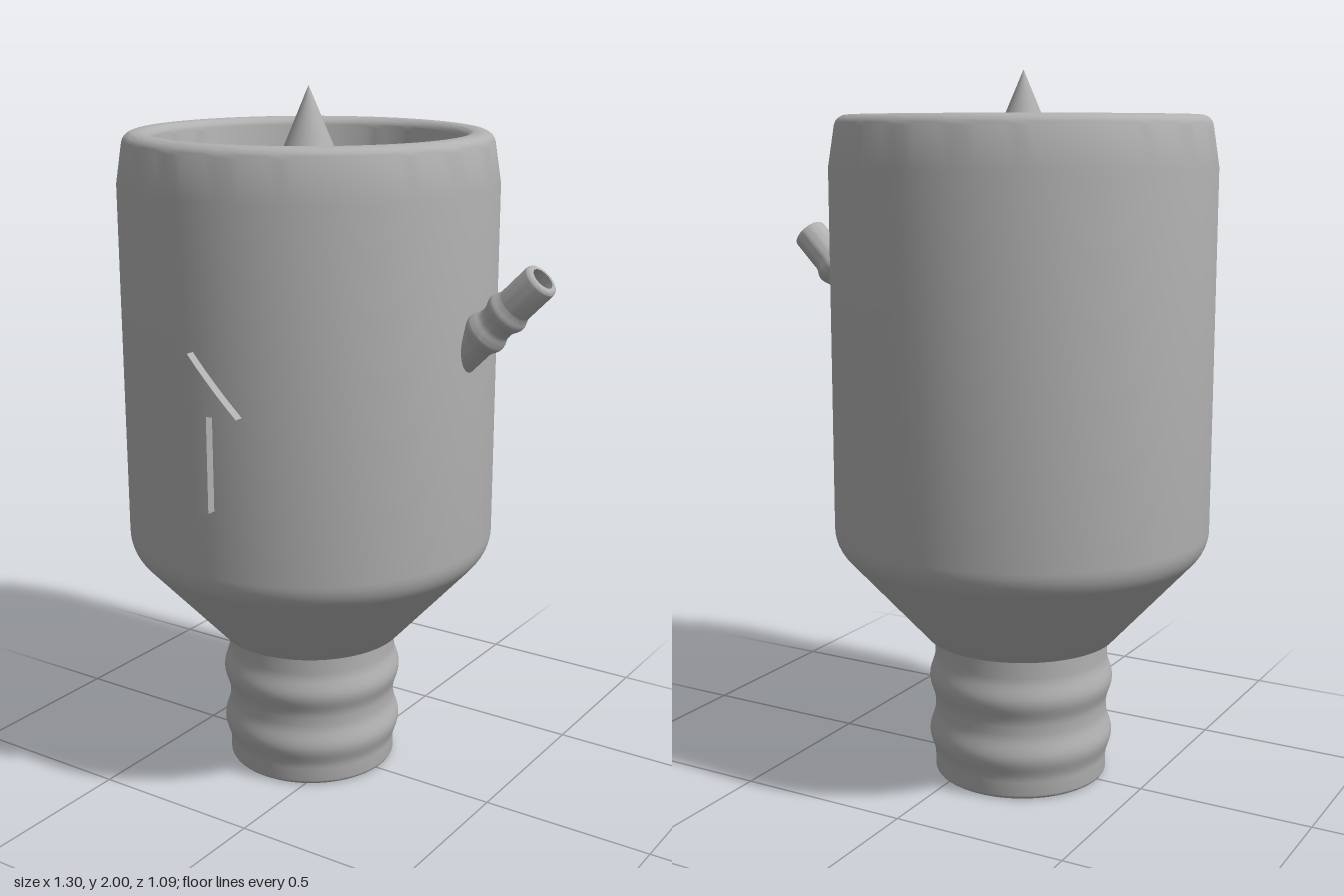
import * as THREE from 'three';
import { toCreasedNormals } from 'three/addons/utils/BufferGeometryUtils.js';

const grey = new THREE.MeshStandardMaterial({ color: 0xb0b0b0, side: THREE.DoubleSide });
grey.name = 'plain grey';

const FLOOR = 1.71, FLOOR_UNDER = 1.6, BORE = 0.433, BODY = 0.532;

function part(name, geometry, parent) {
  const mesh = new THREE.Mesh(geometry, grey);
  mesh.name = name;
  parent.add(mesh);
  return mesh;
}

// Revolved profile; edges sharper than the crease angle stay crisp
function lathe(points, segments = 96) {
  const profile = points.map(([r, y]) => new THREE.Vector2(r, y));
  return toCreasedNormals(new THREE.LatheGeometry(profile, segments), 0.52);
}

// Points of an arc in the profile plane, angles in degrees
function arc(cx, cy, radius, from, to, steps = 6) {
  return Array.from({ length: steps + 1 }, (_, i) => {
    const a = THREE.MathUtils.degToRad(from + (to - from) * i / steps);
    return [cx + radius * Math.cos(a), cy + radius * Math.sin(a)];
  });
}

// Rounded hose ridge standing out from a tube
function ridge(r, y, halfLength, bump, steps = 12) {
  return Array.from({ length: steps + 1 }, (_, i) => {
    const t = -1 + 2 * i / steps;
    return [r + bump * (0.5 + 0.5 * Math.cos(Math.PI * t)), y + halfLength * t];
  });
}

// Flat disc facing up, with a ring of six round holes
function piercedDisc(radius, holeRadius, y) {
  const shape = new THREE.Shape().absarc(0, 0, radius, 0, Math.PI * 2);
  for (let i = 0; i < 6; i++) {
    const a = Math.PI / 2 + i * Math.PI / 3;
    const hole = new THREE.Path();
    hole.absarc(0.288 * Math.cos(a), 0.288 * Math.sin(a), holeRadius, 0, Math.PI * 2, true);
    shape.holes.push(hole);
  }
  return new THREE.ShapeGeometry(shape, 48).rotateX(-Math.PI / 2).translate(0, y, 0);
}

// Raised arrow lofted across its width and wrapped onto the body
function arrowGeometry() {
  const half = 0.14, shaft = 0.055, neckY = 1.195, tipY = 1.355, footY = 0.93;
  const columns = [];
  const add = (x, lo) => columns.push([x, lo, neckY + (tipY - neckY) * (1 - Math.abs(x) / half)]);
  for (let i = 0; i <= 4; i++) add(-half + (half - shaft) * i / 4, neckY);
  for (let i = 0; i <= 6; i++) add(-shaft + 2 * shaft * i / 6, footY);
  for (let i = 0; i <= 4; i++) add(shaft + (half - shaft) * i / 4, neckY);

  const positions = [], index = [];
  columns.forEach(([x, lo, hi], c) => {
    const zIn = Math.sqrt((BODY - 0.02) ** 2 - x * x);
    const zOut = Math.sqrt(0.557 ** 2 - x * x);
    positions.push(x, lo, zIn, x, lo, zOut, x, hi, zOut, x, hi, zIn);
    if (c === 0) return;
    for (let k = 0; k < 4; k++) {
      const a = (c - 1) * 4 + k, b = (c - 1) * 4 + (k + 1) % 4;
      index.push(a, a + 4, b, b, a + 4, b + 4);
    }
  });
  // Side faces at the tips of the head
  const last = (columns.length - 1) * 4;
  index.push(0, 1, 2, 0, 2, 3, last, last + 2, last + 1, last, last + 3, last + 2);

  const geometry = new THREE.BufferGeometry();
  geometry.setAttribute('position', new THREE.Float32BufferAttribute(positions, 3));
  geometry.setIndex(index);
  return toCreasedNormals(geometry, 0.4);
}

export function createModel() {
  const model = new THREE.Group();
  model.name = 'funnelHousing';
  const body = new THREE.Group();
  body.name = 'body';
  body.position.set(-0.12, 0, -0.0125);
  model.add(body);

  // Hollow shell: cone, cylinder, tapered rounded rim, then the inside back down
  part('shell', lathe([
    [0.25, 0.43], [0.272, 0.41],
    ...arc(BODY - 0.11, 0.737, 0.11, -45, 0),
    [BODY, 1.74],
    ...arc(0.48, 1.845, 0.035, 10, 90),
    ...arc(BORE + 0.03, 1.85, 0.03, 90, 180),
    [BORE, 0.713], [0.2, 0.48], [0.2, 0.43],
  ]), body);

  // Hose neck with two ridges
  part('neck', lathe([
    [0.205, 0], [0.237, 0],
    ...arc(0.237, 0.012, 0.012, -90, 0, 4),
    ...ridge(0.249, 0.12, 0.07, 0.016),
    ...ridge(0.249, 0.285, 0.07, 0.016),
    [0.249, 0.43], [0.2, 0.43], [0.2, 0.005], [0.205, 0],
  ]), body);

  // Recessed plate with six tapered through holes
  part('plateTop', piercedDisc(BORE, 0.113, FLOOR), body);
  part('plateUnderside', piercedDisc(BORE, 0.047, FLOOR_UNDER), body);
  for (let i = 0; i < 6; i++) {
    const a = Math.PI / 2 + i * Math.PI / 3;
    const hole = part('taperedHole',
      new THREE.CylinderGeometry(0.113, 0.047, FLOOR - FLOOR_UNDER, 48, 1, true), body);
    hole.position.set(0.288 * Math.cos(a), (FLOOR + FLOOR_UNDER) / 2, 0.288 * Math.sin(a));
  }

  // Central spike
  const spike = part('spike', new THREE.ConeGeometry(0.123, 2 - FLOOR, 64), body);
  spike.position.y = (2 + FLOOR) / 2;

  // Raised arrow on the front
  part('arrow', arrowGeometry(), body);

  // Angled side nozzle with two ridges and a bore
  const length = 0.38;
  const nozzle = part('sideNozzle', lathe([
    [0, 0], [0.05, 0],
    ...ridge(0.05, 0.154, 0.038, 0.011),
    ...ridge(0.05, 0.239, 0.034, 0.01),
    ...arc(0.038, length - 0.012, 0.012, 0, 90, 4),
    [0.032, length], [0.032, 0.05], [0, 0.05],
  ], 40), body);
  nozzle.rotation.z = -Math.PI / 4;
  nozzle.position.set(0.735 - length * Math.SQRT1_2, 1.54 - length * Math.SQRT1_2, 0.0125);

  return model;
}
